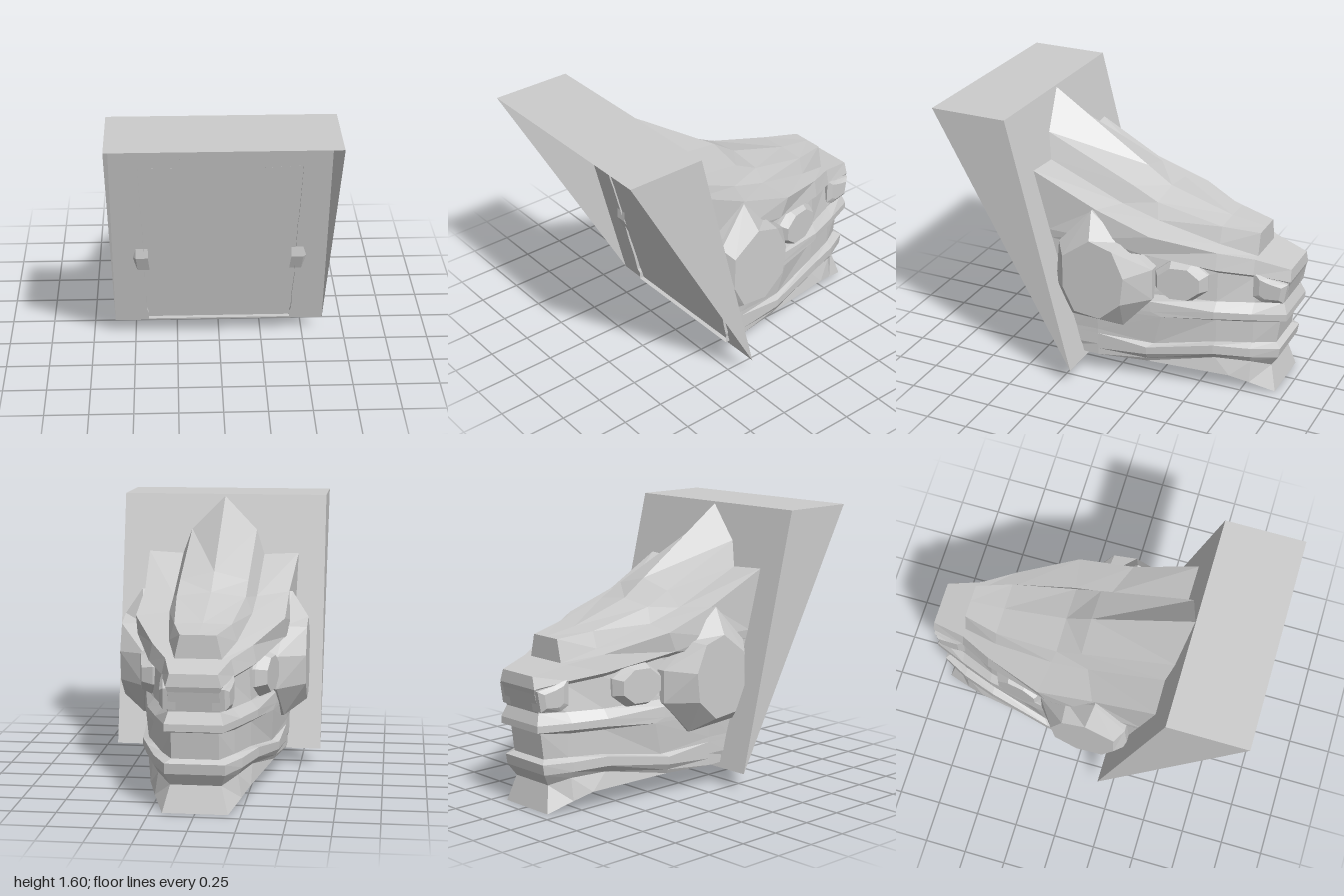
import * as THREE from 'three';

const stone = new THREE.MeshStandardMaterial({ color: 0xcccccc, flatShading: true, side: THREE.DoubleSide });
stone.name = 'pale grey stone';

// Faceted skin between neighbouring rails; optionally mirrored to the other side
function skin(parent, name, rails, mirror = true) {
  const pos = [];
  const tri = (a, b, c) => {
    pos.push(...a, ...b, ...c);
    if (mirror) for (const p of [a, c, b]) pos.push(-p[0], p[1], p[2]);
  };
  for (let r = 0; r + 1 < rails.length; r++) {
    const a = rails[r], b = rails[r + 1];
    for (let i = 0; i + 1 < a.length; i++) {
      tri(a[i], b[i], a[i + 1]);
      tri(b[i], b[i + 1], a[i + 1]);
    }
  }
  const geo = new THREE.BufferGeometry();
  geo.setAttribute('position', new THREE.Float32BufferAttribute(pos, 3));
  geo.computeVertexNormals();
  const mesh = new THREE.Mesh(geo, stone);
  mesh.name = name;
  parent.add(mesh);
}

// Raised polygon on the side of the head: outline and face given as [z, y]
function boss(parent, name, outline, face, xBase, xFace) {
  const ring = (pts, fx) => [...pts, pts[0]].map(([z, y]) => [fx(z), y, z]);
  const n = face.length;
  const cz = face.reduce((s, p) => s + p[0], 0) / n;
  const cy = face.reduce((s, p) => s + p[1], 0) / n;
  skin(parent, name, [
    ring(face.map(() => [cz, cy]), xFace),
    ring(face, xFace),
    ring(outline, xBase),
    ring(outline, z => xBase(z) - 0.07),
  ]);
}

const shrink = (pts, cz, cy, k) => pts.map(([z, y]) => [cz + (z - cz) * k, cy + (y - cy) * k]);
const toCentre = p => [p, [0, p[1], p[2]]];

export function createModel() {
  const model = new THREE.Group();
  model.name = 'wallMountedHead';

  // Wedge-shaped wall block, open on its sloping front
  const w = 0.62, top = 1.6, low = [0.1, 0.165];
  const block = new THREE.Group();
  block.name = 'wallBlock';
  model.add(block);
  skin(block, 'blockTop', [[[-w, top, 0.54], [-w, top, 1]], [[w, top, 0.54], [w, top, 1]]].reverse(), false);
  skin(block, 'blockBack', [[[w, top, 0.54], [-w, top, 0.54]], [[w, ...low], [-w, ...low]]], false);
  skin(block, 'blockSide', [[[w, top, 1], [w, top, 0.54]], [[w, ...low], [w, ...low]]]);

  const head = new THREE.Group();
  head.name = 'head';
  model.add(head);

  // Raised crest: centre line, roof edge, foot of its side wall
  const ridge = [[0, 1.59, 0.54], [0, 1.2, -0.05], [0, 1.1, -0.2], [0, 0.985, -0.58], [0, 0.955, -0.79]];
  const eave = [[0.2, 1.39, 0.49], [0.2, 1.15, -0.05], [0.2, 1.075, -0.2], [0.16, 0.98, -0.58], [0.1, 0.955, -0.79]];
  const foot = [[0.25, 1.245, 0.457], [0.245, 1.05, 0], [0.24, 0.985, -0.22], [0.19, 0.885, -0.58], [0.13, 0.825, -0.79]];
  skin(head, 'crest', [ridge, eave, foot]);
  skin(head, 'crestEnd', [toCentre(eave[4]), toCentre(foot[4])]);

  // Rails run from the wall to the snout; listed from the top downwards
  const brow = [[0.46, 1.255, 0.458], [0.43, 1.07, 0.08], [0.43, 0.965, -0.25], [0.28, 0.87, -0.6], [0.18, 0.825, -0.79], [0.13, 0.78, -0.99]];
  const browEdge = [[0.45, 0.9, 0.375], [0.45, 0.9, 0.08], [0.43, 0.85, -0.2], [0.3, 0.77, -0.6], [0.2, 0.735, -0.79], [0.15, 0.71, -0.995]];
  const socket = [[0.445, 0.85, 0.362], [0.43, 0.82, 0.08], [0.33, 0.8, -0.22], [0.26, 0.74, -0.6], [0.17, 0.71, -0.79], [0.14, 0.68, -0.985]];
  const cheek = [[0.44, 0.6, 0.3], [0.43, 0.58, 0.08], [0.36, 0.57, -0.22], [0.27, 0.56, -0.6], [0.19, 0.56, -0.8], [0.14, 0.57, -0.96]];
  const lipTop = [[0.44, 0.55, 0.288], [0.43, 0.53, 0.08], [0.38, 0.53, -0.22], [0.31, 0.51, -0.6], [0.235, 0.505, -0.8], [0.16, 0.505, -0.985]];
  const lipEdge = [[0.44, 0.5, 0.276], [0.43, 0.47, 0.08], [0.38, 0.465, -0.24], [0.31, 0.465, -0.6], [0.235, 0.465, -0.8], [0.16, 0.465, -0.985]];
  const mouthTop = [[0.44, 0.45, 0.265], [0.43, 0.44, 0.08], [0.37, 0.44, -0.3], [0.27, 0.44, -0.6], [0.2, 0.44, -0.8], [0.13, 0.45, -0.94]];
  const mouthLow = [[0.43, 0.3, 0.23], [0.42, 0.3, 0.08], [0.36, 0.25, -0.25], [0.27, 0.3, -0.6], [0.2, 0.305, -0.8], [0.13, 0.3, -0.92]];
  const jawLip = [[0.43, 0.27, 0.225], [0.42, 0.27, 0.08], [0.4, 0.235, -0.22], [0.315, 0.295, -0.6], [0.245, 0.285, -0.8], [0.165, 0.28, -0.955]];
  const jawEdge = [[0.43, 0.2, 0.21], [0.42, 0.2, 0.08], [0.4, 0.19, -0.22], [0.315, 0.24, -0.6], [0.245, 0.23, -0.8], [0.165, 0.22, -0.945]];
  const jawNeck = [[0.42, 0.17, 0.2], [0.42, 0.17, 0.08], [0.38, 0.155, -0.22], [0.28, 0.2, -0.6], [0.22, 0.19, -0.8], [0.14, 0.15, -0.9]];
  const jawBase = [[0.42, 0.13, 0.2], [0.42, 0.13, 0.08], [0.37, 0.13, -0.21], [0.28, 0.1, -0.69], [0.24, 0.06, -0.8], [0.18, 0, -0.94]];

  skin(head, 'browShelf', [foot, brow.slice(0, 5)]);
  skin(head, 'snoutTop', [[[0, 0.825, -0.79], [0, 0.78, -0.99]], brow.slice(4)]);
  skin(head, 'brow', [brow, browEdge, socket]);
  skin(head, 'cheek', [socket, cheek]);
  skin(head, 'upperLip', [cheek, lipTop, lipEdge, mouthTop]);
  skin(head, 'mouth', [mouthTop, mouthLow]);
  skin(head, 'lowerLip', [mouthLow, jawLip, jawEdge, jawNeck]);
  skin(head, 'jaw', [jawNeck, jawBase, jawBase.map(p => [0, p[1], p[2]])]);

  // Snout, lips and chin closed across the end
  const all = [brow, browEdge, socket, cheek, lipTop, lipEdge, mouthTop, mouthLow, jawLip, jawEdge, jawNeck, jawBase];
  skin(head, 'muzzleEnd', all.map(rail => toCentre(rail[5])));

  // Large bevelled ear discs
  boss(head, 'earDisc',
    [[0.1, 1.07], [0.29, 0.86], [0.31, 0.6], [0.22, 0.4], [-0.08, 0.36], [-0.25, 0.55], [-0.25, 0.74], [-0.08, 0.89]],
    [[0.07, 0.925], [0.24, 0.8], [0.24, 0.6], [0.17, 0.46], [0.01, 0.445], [-0.12, 0.56], [-0.14, 0.73], [-0.07, 0.885]],
    z => 0.43 + 0.18 * z, z => 0.545);

  // Eight-sided eyes, set to follow the cheek
  const eye = Array.from({ length: 8 }, (_, i) => {
    const a = (i + 0.5) * Math.PI / 4;
    return [-0.405 + 0.16 * Math.sin(a), 0.675 + 0.13 * Math.cos(a)];
  });
  boss(head, 'eye', eye, shrink(eye, -0.41, 0.68, 0.8), z => 0.41 + 0.22 * z, z => 0.455 + 0.19 * z);

  // Nostril lumps
  const nostril = [[-0.79, 0.75], [-0.79, 0.6], [-0.84, 0.57], [-0.965, 0.58], [-0.985, 0.7], [-0.88, 0.72]];
  boss(head, 'nostril', nostril, shrink(nostril, -0.9, 0.65, 0.65), z => 0.165 + 0.15 * (z + 0.985), z => 0.19 + 0.1 * (z + 0.95));

  return model;
}
